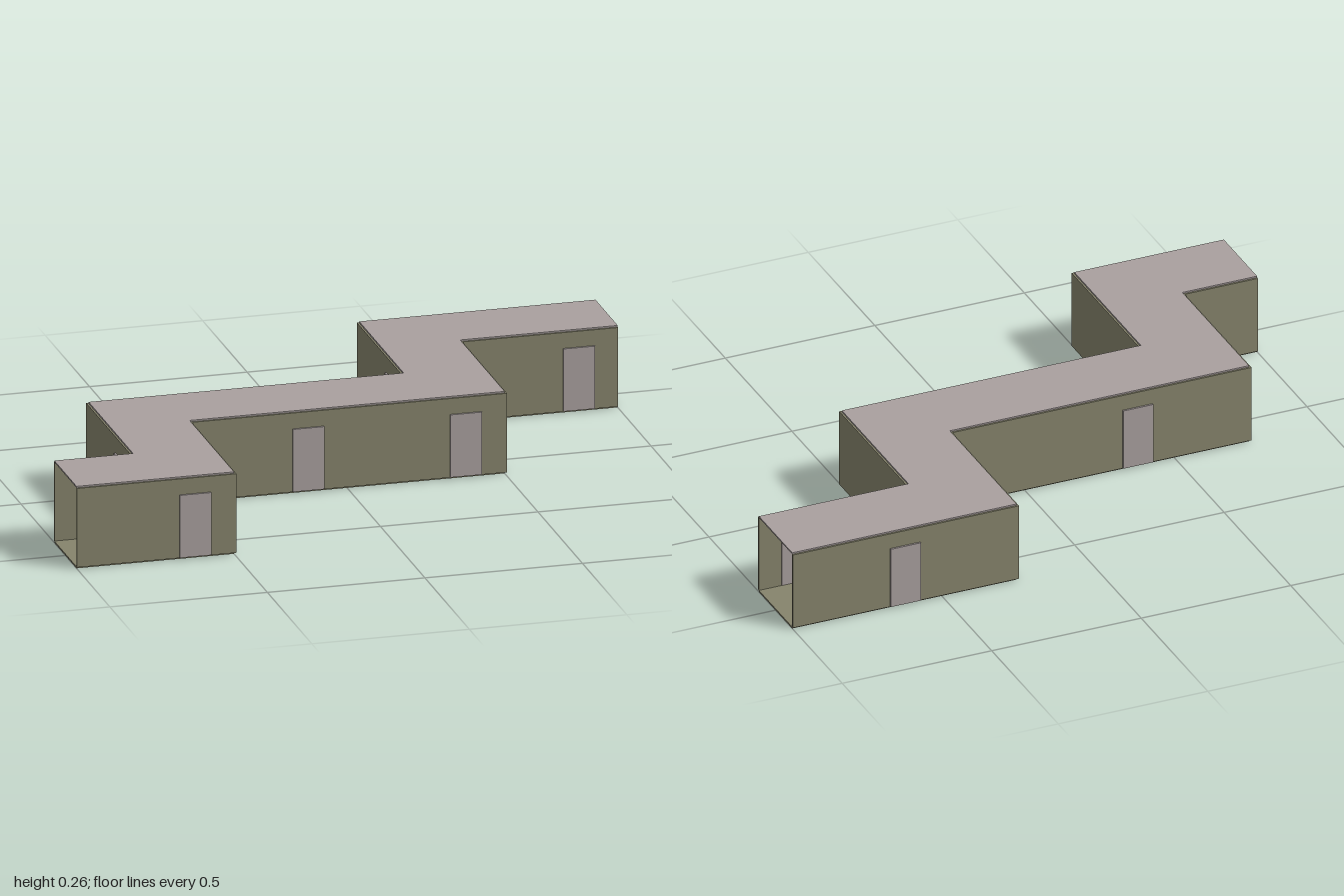
import * as THREE from 'three';

// Plan outline (x, z): front side left to right, then back side right to left
const OUTLINE = [
  [-1, 0.625], [-0.5, 0.625], [-0.5, 0.125], [0.5, 0.125], [0.5, -0.375], [1, -0.375],
  [1, -0.625], [0.25, -0.625], [0.25, -0.125], [-0.75, -0.125], [-0.75, 0.375], [-1, 0.375],
];
const OPEN_EDGES = [5, 11]; // the two corridor mouths
const WALL = 0.006, SLAB = 0.005, HEIGHT = 0.265;

// Door centres (x, z) with the direction they face, as a turn around y
const BACK = Math.PI, SIDE = -Math.PI / 2;
const DOORS = [
  [-0.625, 0.625, 0], [-0.125, 0.125, 0], [0.375, 0.125, 0], [0.875, -0.375, 0],
  [0.625, -0.625, BACK], [-0.375, -0.125, BACK],
  [0.25, -0.25, SIDE], [-0.75, 0.25, SIDE],
];

export function createModel() {
  const group = new THREE.Group();
  const material = (name, color) => {
    const m = new THREE.MeshStandardMaterial({ color });
    m.name = name;
    return m;
  };
  const olive = material('olive wall', 0x86846c);
  const mauve = material('mauve panel', 0xa9a09f);

  const add = (name, geometry, mat) => {
    const mesh = new THREE.Mesh(geometry, mat);
    mesh.name = name;
    group.add(mesh);
    return mesh;
  };

  // Floor and roof slabs share the zigzag plan
  const plan = new THREE.Shape(OUTLINE.map(([x, z]) => new THREE.Vector2(x, -z)));
  const slab = new THREE.ExtrudeGeometry(plan, { depth: SLAB, bevelEnabled: false });
  slab.rotateX(-Math.PI / 2);
  add('floor', slab, olive);
  add('roof', slab, mauve).position.y = HEIGHT - SLAB;

  // Thin walls just outside the outline, lengthened at outer corners
  const n = OUTLINE.length;
  const at = (i) => new THREE.Vector2(...OUTLINE[(i + n) % n]);
  const isOuterCorner = (i) => {
    const a = at(i).sub(at(i - 1)), b = at(i + 1).sub(at(i));
    const touchesMouth = OPEN_EDGES.includes(i % n) || OPEN_EDGES.includes((i + n - 1) % n);
    return a.cross(b) < 0 && !touchesMouth;
  };
  const wallHeight = HEIGHT - 2 * SLAB;
  for (let i = 0; i < n; i++) {
    if (OPEN_EDGES.includes(i)) continue;
    const a = at(i), b = at(i + 1);
    const dir = b.clone().sub(a).normalize();
    if (isOuterCorner(i)) a.addScaledVector(dir, -WALL);
    if (isOuterCorner(i + 1)) b.addScaledVector(dir, WALL);
    const wall = add('wall', new THREE.BoxGeometry(a.distanceTo(b), wallHeight, WALL), olive);
    wall.position.set(
      (a.x + b.x) / 2 - dir.y * WALL / 2, HEIGHT / 2, (a.y + b.y) / 2 + dir.x * WALL / 2);
    wall.rotation.y = Math.atan2(-dir.y, dir.x);
  }

  // Doors stand slightly proud of the wall on both faces
  const doorGeometry = new THREE.BoxGeometry(0.1, 0.202, 0.016);
  doorGeometry.translate(0, 0.108, WALL / 2 + 0.001);
  for (const [x, z, turn] of DOORS) {
    const door = add('door', doorGeometry, mauve);
    door.position.set(x, 0, z);
    door.rotation.y = turn;
  }
  return group;
}
